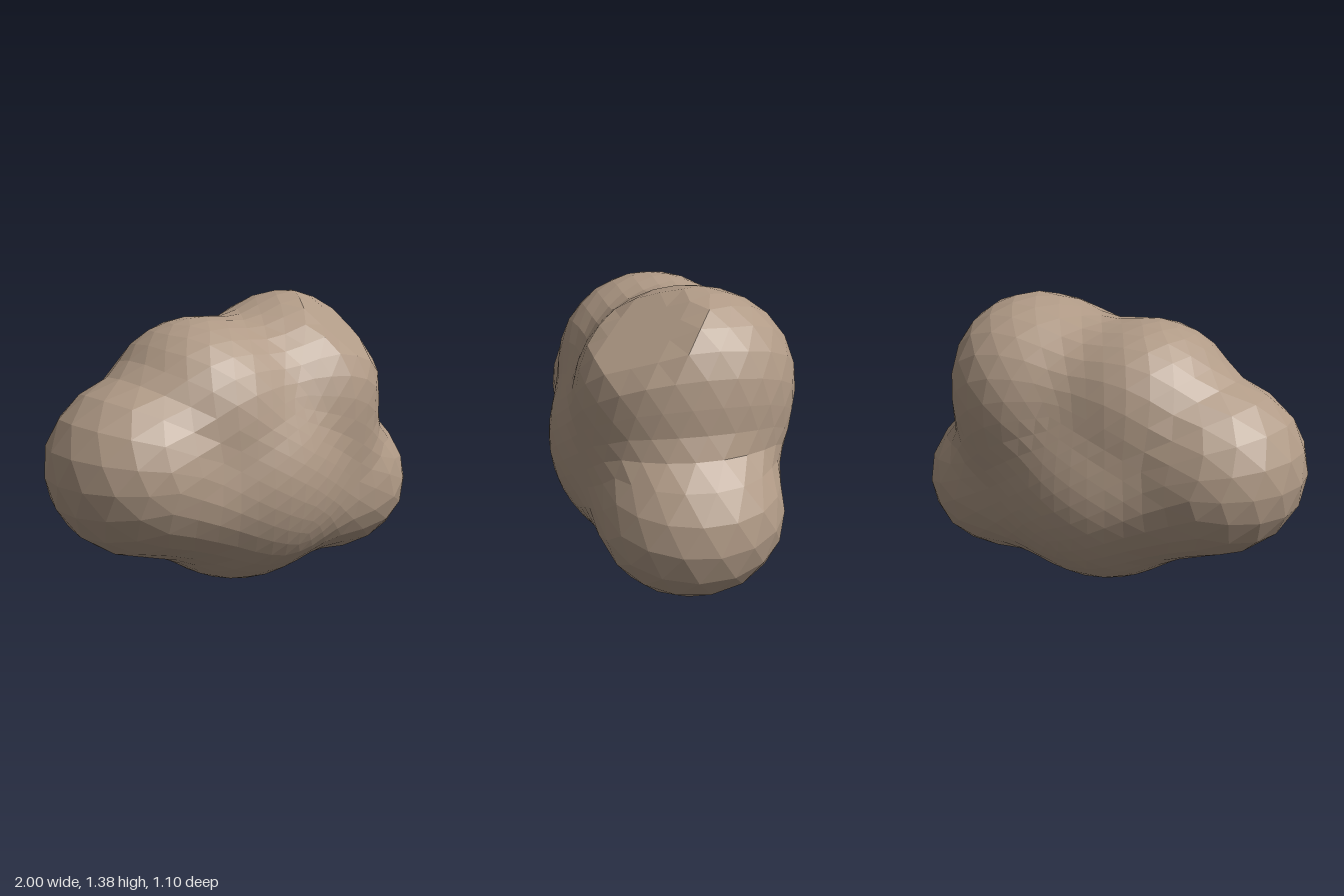
import * as THREE from 'three';

// Overlapping lobes of the boulder: centre, then radii
const LOBES = [
  [[-0.58, 0.65, 0], [0.42, 0.41, 0.43]],        // right end
  [[-0.36, 0.51, 0], [0.32, 0.31, 0.43]],        // fill between right end and belly
  [[0, 0.55, 0], [0.55, 0.55, 0.55]],            // heavy belly
  [[-0.23, 0.88, 0], [0.41, 0.42, 0.45]],        // upper shoulder
  [[0.05, 0.95, -0.01], [0.32, 0.31, 0.38]],     // saddle along the top
  [[0.33, 0.88, -0.02], [0.44, 0.47, 0.5]],      // crown
  [[0.41, 1.03, -0.04], [0.32, 0.32, 0.41]],     // squared crown corner
  [[0.43, 0.64, 0.01], [0.32, 0.3, 0.41]],       // fill between crown and foot
  [[0.33, 0.39, 0.01], [0.32, 0.31, 0.41]],      // fill between belly and foot
  [[0.6, 0.4, 0.02], [0.4, 0.37, 0.42]],         // low left foot
].map(([c, r]) => ({
  c: new THREE.Vector3(...c),
  r: new THREE.Vector3(...r),
  least: Math.min(...r),
}));

// Flat chipped face on the front left of the crown
const CHIP = new THREE.Plane(new THREE.Vector3(0.366, 0.776, 0.513).normalize(), -1.22);

const CORE = new THREE.Vector3(0.04, 0.63, 0);
const BLEND = 0.04;

// Approximate distance to the lobes, melted together at the creases
function field(point) {
  const sum = LOBES.reduce((s, { c, r, least }) => {
    const d = (point.clone().sub(c).divide(r).length() - 1) * least;
    return s + Math.exp(-d / BLEND);
  }, 0);
  return Math.max(-BLEND * Math.log(sum), CHIP.distanceToPoint(point));
}

// Walk inward along a ray until the outermost surface is reached
function surfacePoint(dir) {
  const point = new THREE.Vector3();
  let t = 1.4;
  for (let i = 0; i < 150; i++) {
    const d = field(point.copy(dir).multiplyScalar(t).add(CORE));
    if (d < 0.0005) break;
    t -= d * 0.8;
  }
  return point;
}

// Faceted ball whose vertices are placed on the joined surface
function boulderGeometry() {
  const geometry = new THREE.IcosahedronGeometry(1, 7);
  const p = geometry.attributes.position;
  const dir = new THREE.Vector3();
  for (let i = 0; i < p.count; i++) {
    const { x, y, z } = surfacePoint(dir.fromBufferAttribute(p, i).normalize());
    p.setXYZ(i, x, y, z);
  }
  geometry.computeVertexNormals();
  return geometry;
}

export function createModel() {
  const stone = new THREE.MeshStandardMaterial({ color: 0xb09a86, flatShading: true });
  stone.name = 'brown stone';

  const boulder = new THREE.Mesh(boulderGeometry(), stone);
  boulder.name = 'boulder';

  const group = new THREE.Group();
  group.name = 'rock';
  group.add(boulder);
  return group;
}
